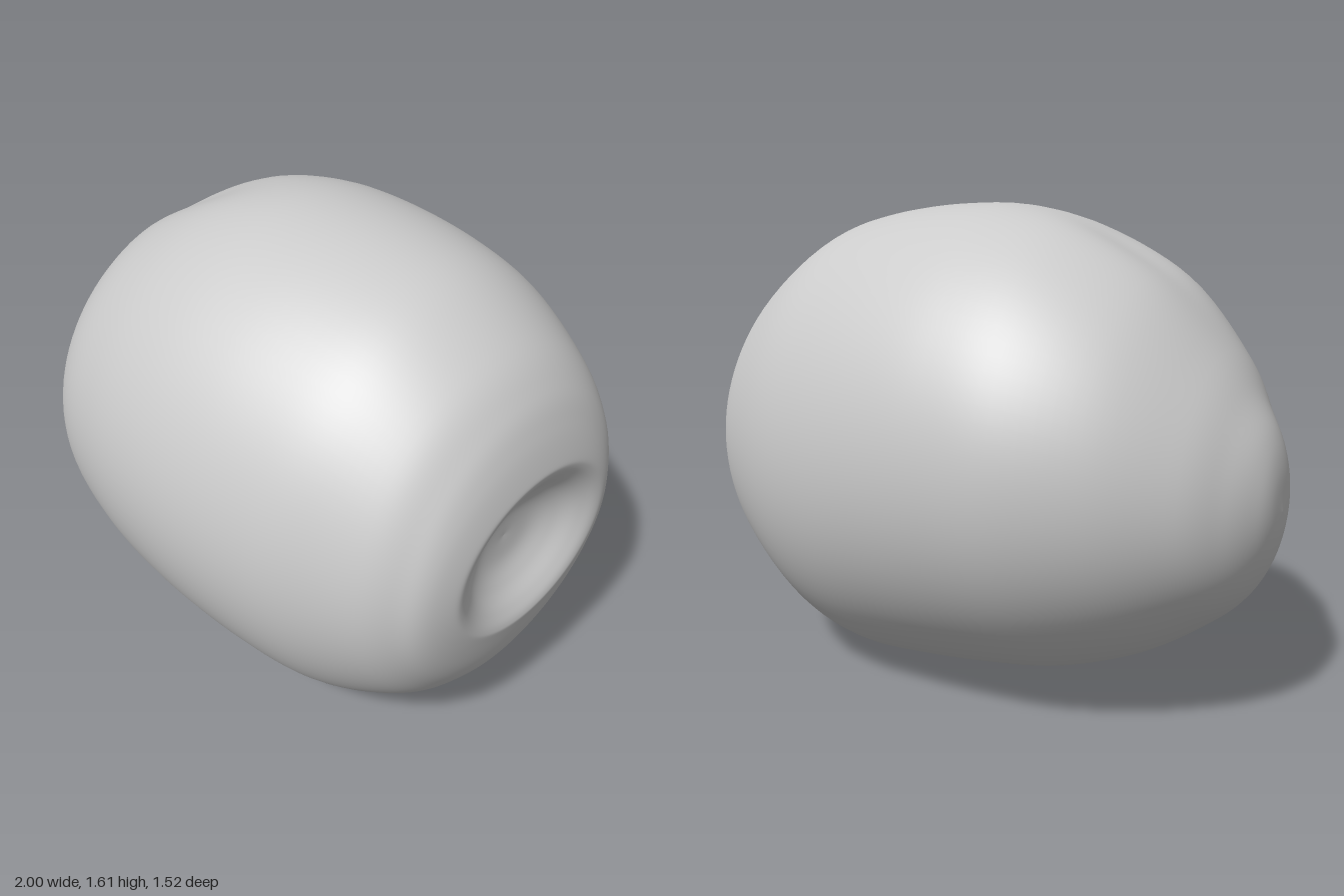
import * as THREE from 'three';

// Cross-section stations along x: [x, top y, bottom y, back z, front z]
const STATIONS = [
  [-1, 0.7, 0.7, -0.1, -0.1],
  [-0.99, 0.83, 0.61, -0.2, 0.01],
  [-0.96, 0.93, 0.51, -0.28, 0.1],
  [-0.9, 1.03, 0.41, -0.38, 0.22],
  [-0.8, 1.18, 0.315, -0.5, 0.4],
  [-0.6, 1.4, 0.185, -0.65, 0.585],
  [-0.35, 1.54, 0.095, -0.75, 0.69],
  [-0.1, 1.605, 0.05, -0.765, 0.743],
  [0.15, 1.612, 0.02, -0.742, 0.756],
  [0.4, 1.585, 0.005, -0.69, 0.735],
  [0.6, 1.53, 0.05, -0.615, 0.695],
  [0.8, 1.41, 0.17, -0.49, 0.64],
  [0.9, 1.3, 0.28, -0.405, 0.58],
  [0.95, 1.2, 0.38, -0.335, 0.53],
  [0.98, 1.1, 0.5, -0.27, 0.45],
];

// Hollow at the +x end: [x, scale of the last ring]
const HOLLOW = [[0.982, 0.88], [0.96, 0.74], [0.92, 0.55], [0.89, 0.32], [0.88, 0]];
const HY = 0.8, HZ = 0.09;

const RINGS = 120, SIDES = 96;
const bump = (d, w) => Math.exp(-(d * d) / (w * w));

function bodyGeometry() {
  const rows = STATIONS.concat(
    HOLLOW.map(([x, s]) => [x, HY + 0.3 * s, HY - 0.3 * s, HZ - 0.36 * s, HZ + 0.36 * s])
  );
  const vertical = new THREE.CatmullRomCurve3(
    rows.map((r) => new THREE.Vector3(r[0], r[1], r[2])), false, 'catmullrom', 0.5);
  const sideways = new THREE.CatmullRomCurve3(
    rows.map((r) => new THREE.Vector3(r[0], r[3], r[4])), false, 'catmullrom', 0.5);

  const positions = [], index = [];
  for (let i = 0; i <= RINGS; i++) {
    const v = vertical.getPoint(i / RINGS), h = sideways.getPoint(i / RINGS);
    const cy = (v.y + v.z) / 2, ry = (v.y - v.z) / 2;
    const cz = (h.y + h.z) / 2, rz = (h.z - h.y) / 2;
    const slant = THREE.MathUtils.smoothstep(v.x, 0.4, 0.95) * 0.11;
    for (let j = 0; j < SIDES; j++) {
      const a = (j / SIDES) * Math.PI * 2;
      const z = cz + rz * Math.cos(a);
      let y = cy + ry * Math.sin(a);
      // Shallow crease running down the top towards -x
      if (Math.sin(a) > 0) y -= 0.025 * bump(v.x + 0.48, 0.22) * bump(z + 0.02, 0.12);
      // The +x end leans back
      positions.push(v.x - slant * (z + 0.1), y, z);
      if (i < RINGS) {
        const k = (j + 1) % SIDES, r = i * SIDES, n = r + SIDES;
        index.push(r + j, n + j, r + k, n + j, n + k, r + k);
      }
    }
  }
  const geometry = new THREE.BufferGeometry();
  geometry.setAttribute('position', new THREE.Float32BufferAttribute(positions, 3));
  geometry.setIndex(index);
  geometry.computeVertexNormals();
  return geometry;
}

export function createModel() {
  const group = new THREE.Group();
  group.name = 'roundedFruit';
  const body = new THREE.Mesh(bodyGeometry(), new THREE.MeshStandardMaterial({ color: 0xcccccc }));
  body.name = 'body';
  group.add(body);
  return group;
}
